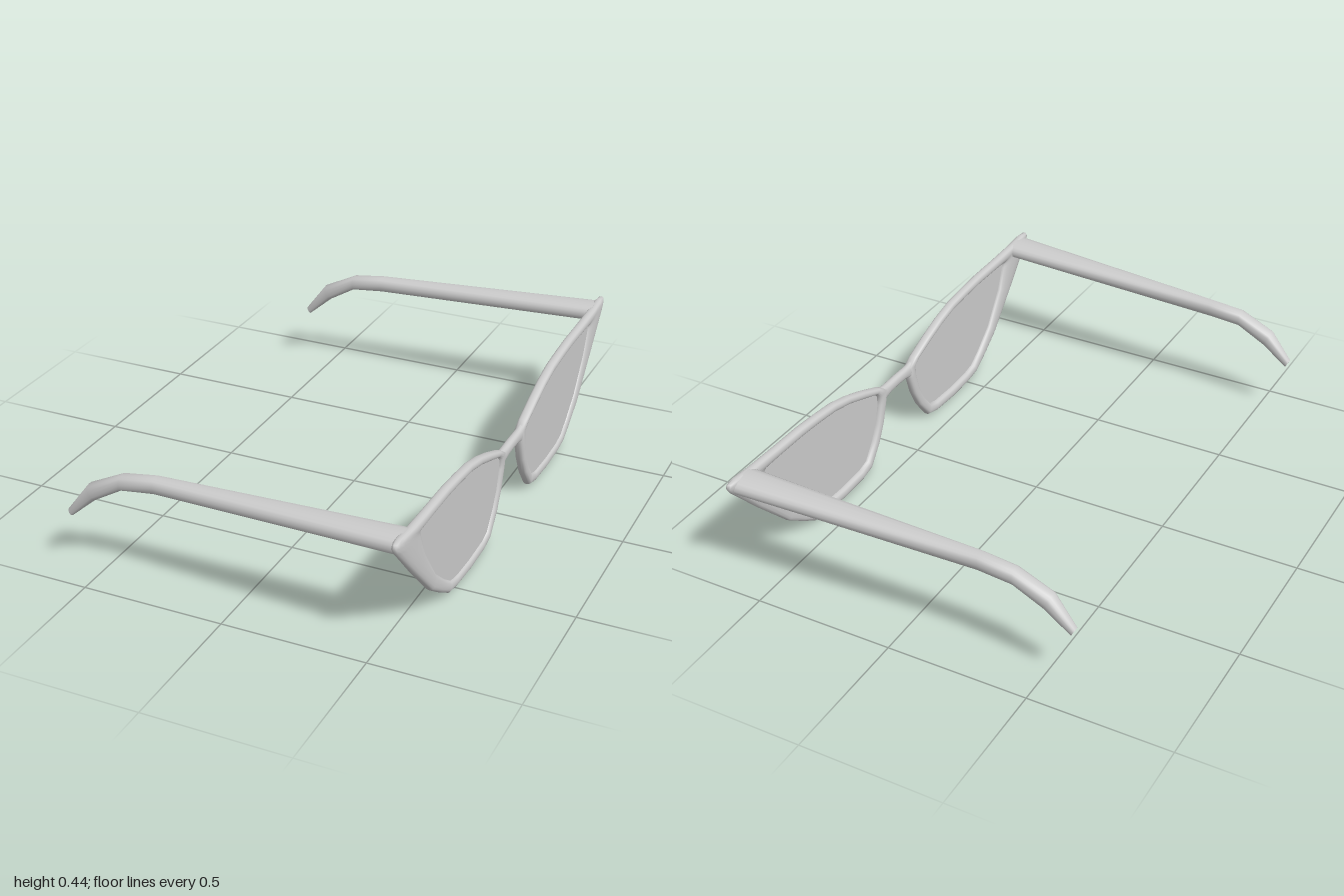
import * as THREE from 'three';

const material = new THREE.MeshStandardMaterial({ color: 0xcccccc });
const V = (x, y, z) => new THREE.Vector3(x, y, z);
const SIDES = 16;
const FRONT_X = 0.5825, HALF_DEPTH = 0.0175;

// Lofts rounded cross-sections; each spans from a to b with half-axis h across.
function loft(name, sections, { closed = false, power = 0.8 } = {}) {
  const pos = [], idx = [], n = sections.length;
  const soft = (t) => Math.sign(t) * Math.abs(t) ** power;
  for (const { a, b, h } of sections) {
    const mid = a.clone().add(b).multiplyScalar(0.5);
    const half = a.clone().sub(b).multiplyScalar(0.5);
    for (let j = 0; j < SIDES; j++) {
      const t = (j / SIDES) * Math.PI * 2;
      const p = mid.clone().addScaledVector(half, soft(Math.cos(t))).addScaledVector(h, soft(Math.sin(t)));
      pos.push(p.x, p.y, p.z);
    }
  }
  for (let i = 0; i < (closed ? n : n - 1); i++) {
    for (let j = 0; j < SIDES; j++) {
      const k = (j + 1) % SIDES, r = i * SIDES, s = ((i + 1) % n) * SIDES;
      idx.push(r + j, s + j, s + k, r + j, s + k, r + k);
    }
  }
  // Flat end caps on their own vertices
  if (!closed) {
    for (const end of [0, n - 1]) {
      const base = pos.length / 3;
      pos.push(...pos.slice(end * SIDES * 3, (end + 1) * SIDES * 3));
      for (let j = 1; j < SIDES - 1; j++) {
        idx.push(base, ...(end === 0 ? [base + j, base + j + 1] : [base + j + 1, base + j]));
      }
    }
  }
  // Turn the faces outward if the enclosed volume is negative
  const at = (i) => V(pos[i * 3], pos[i * 3 + 1], pos[i * 3 + 2]);
  let volume = 0;
  for (let i = 0; i < idx.length; i += 3) volume += at(idx[i]).dot(at(idx[i + 1]).cross(at(idx[i + 2])));
  if (volume < 0) idx.reverse();
  const geo = new THREE.BufferGeometry();
  geo.setAttribute('position', new THREE.Float32BufferAttribute(pos, 3));
  geo.setIndex(idx);
  geo.computeVertexNormals();
  const mesh = new THREE.Mesh(geo, material);
  mesh.name = name;
  return mesh;
}

// Rim profile: outer z, outer y, inner z, inner y
const RIM = [
  [0.075, 0.295, 0.125, 0.285], [0.12, 0.32, 0.145, 0.305], [0.22, 0.36, 0.22, 0.33],
  [0.31, 0.39, 0.31, 0.36], [0.40, 0.411, 0.40, 0.38], [0.50, 0.421, 0.50, 0.389],
  [0.60, 0.428, 0.60, 0.394], [0.75, 0.43, 0.72, 0.394], [0.88, 0.434, 0.785, 0.392],
  [0.96, 0.441, 0.797, 0.39], [0.993, 0.437, 0.802, 0.386], [1.0, 0.425, 0.803, 0.38],
  [0.985, 0.402, 0.80, 0.37], [0.86, 0.267, 0.765, 0.285], [0.71, 0.115, 0.68, 0.163],
  [0.63, 0.06, 0.60, 0.095], [0.565, 0.02, 0.545, 0.057], [0.50, 0.009, 0.49, 0.046],
  [0.38, 0.003, 0.38, 0.042], [0.26, 0.009, 0.265, 0.047], [0.20, 0.024, 0.22, 0.06],
  [0.14, 0.10, 0.175, 0.12], [0.105, 0.17, 0.143, 0.18], [0.08, 0.25, 0.125, 0.25],
];

function buildRim(side) {
  const name = side > 0 ? 'leftRim' : 'rightRim';
  return loft(name, RIM.map(([oz, oy, iz, iy]) => ({
    a: V(FRONT_X, oy, side * oz), b: V(FRONT_X, iy, side * iz), h: V(HALF_DEPTH, 0, 0),
  })), { closed: true });
}

// Thin pane whose edge is buried in the rim
function buildLens(side) {
  const outline = RIM.map(([oz, oy, iz, iy]) => new THREE.Vector2(
    -side * (iz * 0.8 + oz * 0.2), iy * 0.8 + oy * 0.2));
  const geo = new THREE.ExtrudeGeometry(new THREE.Shape(outline), { depth: 0.008, bevelEnabled: false });
  geo.rotateY(Math.PI / 2).translate(FRONT_X, 0, 0);
  const mesh = new THREE.Mesh(geo, material);
  mesh.name = side > 0 ? 'leftLens' : 'rightLens';
  return mesh;
}

// Nose bridge, flaring where it meets the rims
function buildBridge() {
  const stations = [[-0.11, 0.312, 0.235], [-0.08, 0.304, 0.254], [-0.05, 0.303, 0.262], [0, 0.304, 0.264],
    [0.05, 0.303, 0.262], [0.08, 0.304, 0.254], [0.11, 0.312, 0.235]];
  return loft('bridge', stations.map(([z, top, bottom]) => ({
    a: V(FRONT_X, top, z), b: V(FRONT_X, bottom, z), h: V(HALF_DEPTH * 0.9, 0, 0),
  })));
}

// Temple arm: top x, top y, bottom x, bottom y, inner z, outer z, tip shift
const ARM = [
  [0.58, 0.437, 0.58, 0.381, 0.854, 0.979, 0], [-0.28, 0.406, -0.28, 0.348, 0.854, 0.911, 0],
  [-0.40, 0.39, -0.40, 0.336, 0.855, 0.914, 0.004], [-0.525, 0.33, -0.50, 0.278, 0.854, 0.912, 0.009],
  [-0.604, 0.225, -0.591, 0.2, 0.869, 0.9, 0.013],
];

function buildTemple(side) {
  const name = side > 0 ? 'leftTemple' : 'rightTemple';
  return loft(name, ARM.map(([tx, ty, bx, by, inner, outer, shift]) => {
    const z = side * (inner + outer) / 2 + shift;
    return { a: V(tx, ty, z), b: V(bx, by, z), h: V(0, 0, (outer - inner) / 2) };
  }));
}

export function createModel() {
  const group = new THREE.Group();
  group.name = 'glasses';
  group.add(buildBridge());
  for (const side of [1, -1]) group.add(buildRim(side), buildLens(side), buildTemple(side));
  return group;
}
